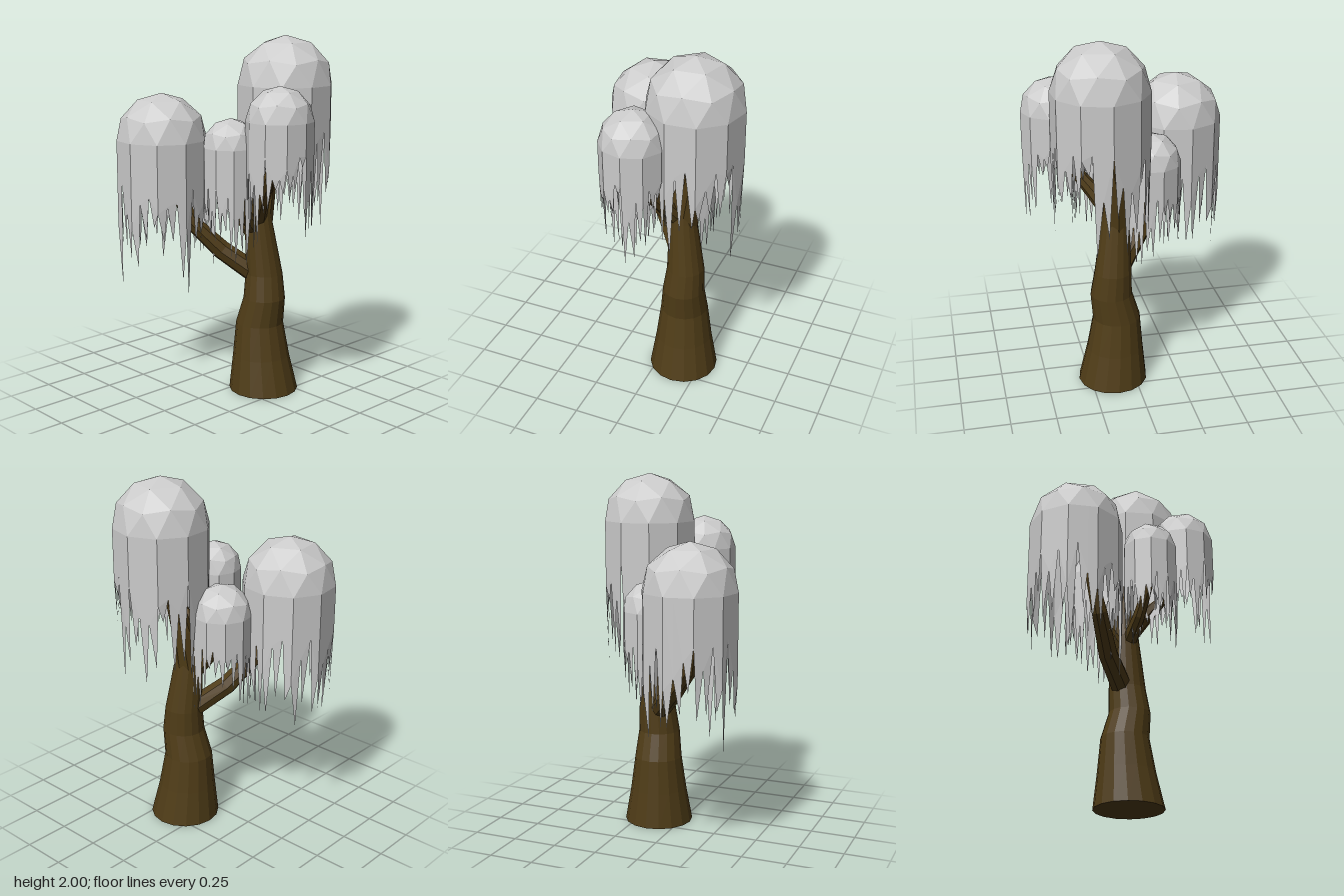
import * as THREE from 'three';

const bark = new THREE.MeshStandardMaterial({ color: 0x4f3c17, flatShading: true });
const leaf = new THREE.MeshStandardMaterial({ color: 0xcccccc, flatShading: true, side: THREE.DoubleSide });

// Small seeded random generator
function seeded(seed) {
  let s = seed * 7919 + 17;
  return () => (s = (s * 16807) % 2147483647) / 2147483647;
}

// Tapered tube through [x, y, z, radius] points; level keeps the rings horizontal
function limb(name, pts, sides, level = false) {
  const up = new THREE.Vector3(0, 1, 0);
  const at = i => new THREE.Vector3(...pts[Math.max(0, Math.min(pts.length - 1, i))].slice(0, 3));
  const pos = [], idx = [];
  pts.forEach((p, i) => {
    const dir = level ? up : at(i + 1).sub(at(i - 1)).normalize();
    const q = new THREE.Quaternion().setFromUnitVectors(up, dir);
    for (let j = 0; j < sides; j++) {
      const a = (j / sides) * Math.PI * 2;
      const v = new THREE.Vector3(Math.sin(a) * p[3], 0, Math.cos(a) * p[3]).applyQuaternion(q).add(at(i));
      pos.push(v.x, v.y, v.z);
      if (i === 0) continue;
      const n = (j + 1) % sides, lo = (i - 1) * sides, hi = i * sides;
      idx.push(lo + j, lo + n, hi + n, lo + j, hi + n, hi + j);
    }
  });
  // Bottom cap
  for (let j = 1; j < sides - 1; j++) idx.push(0, j + 1, j);
  const geo = new THREE.BufferGeometry();
  geo.setAttribute('position', new THREE.Float32BufferAttribute(pos, 3));
  geo.setIndex(idx);
  geo.computeVertexNormals();
  const mesh = new THREE.Mesh(geo, bark);
  mesh.name = name;
  return mesh;
}

// Upper half of a faceted sphere, pole up, with a ten-sided rim at y = 0
function domeGeometry(r) {
  const ico = new THREE.IcosahedronGeometry(r, 1);
  const pole = new THREE.Vector3(0, 1, (1 + Math.sqrt(5)) / 2).normalize();
  ico.applyQuaternion(new THREE.Quaternion().setFromUnitVectors(pole, new THREE.Vector3(0, 1, 0)));
  const p = ico.attributes.position, keep = [];
  for (let i = 0; i < p.count; i += 3) {
    if (p.getY(i) + p.getY(i + 1) + p.getY(i + 2) < 0.01 * r) continue;
    for (let k = i; k < i + 3; k++) keep.push(p.getX(k), p.getY(k), p.getZ(k));
  }
  const geo = new THREE.BufferGeometry();
  geo.setAttribute('position', new THREE.Float32BufferAttribute(keep, 3));
  geo.computeVertexNormals();
  // Angle of one rim corner, so the strands line up with the dome
  let phase = 0;
  for (let i = 0; i < keep.length; i += 3) {
    if (Math.abs(keep[i + 1]) < 1e-4) phase = Math.atan2(keep[i], keep[i + 2]);
  }
  return { geo, phase };
}

// Curtain of pointed strands hanging from the rim
function strandGeometry(r, phase, drop, rand) {
  const edges = 10, per = 3, total = edges * per;
  const corner = i => {
    const a = phase + (i / edges) * Math.PI * 2;
    return new THREE.Vector3(Math.sin(a) * r, 0, Math.cos(a) * r);
  };
  const rim = i => corner(Math.floor(i / per)).lerp(corner(Math.floor(i / per) + 1), (i % per) / per);
  const notch = Array.from({ length: total }, () => -drop * (0.25 + 0.35 * rand()));
  const pos = [];
  for (let i = 0; i < total; i++) {
    const a = rim(i), b = rim(i + 1);
    const c = a.clone().setY(notch[i]), d = b.clone().setY(notch[(i + 1) % total]);
    const tip = a.clone().lerp(b, 0.3 + 0.4 * rand()).multiplyScalar(0.97);
    tip.y = Math.min(c.y, d.y) - drop * (0.08 + 0.36 * rand());
    for (const v of [a, c, d, a, d, b, c, tip, d]) pos.push(v.x, v.y, v.z);
  }
  const geo = new THREE.BufferGeometry();
  geo.setAttribute('position', new THREE.Float32BufferAttribute(pos, 3));
  geo.computeVertexNormals();
  return geo;
}

function canopy(name, x, y, z, r, drop, seed) {
  const group = new THREE.Group();
  group.name = name;
  const { geo, phase } = domeGeometry(r);
  const dome = new THREE.Mesh(geo, leaf);
  dome.name = 'dome';
  const strands = new THREE.Mesh(strandGeometry(r, phase, drop, seeded(seed)), leaf);
  strands.name = 'hangingStrands';
  group.add(dome, strands);
  group.position.set(x, y, z);
  group.rotation.y = seed * 0.7;
  return group;
}

export function createModel() {
  const tree = new THREE.Group();
  tree.name = 'willowTree';

  // Trunk
  tree.add(limb('trunk', [
    [0.14, 0, 0.12, 0.195], [0.135, 0.2, 0.105, 0.16], [0.132, 0.39, 0.095, 0.134],
    [0.138, 0.54, 0.125, 0.117], [0.145, 0.68, 0.115, 0.104], [0.12, 0.98, 0.095, 0.076],
    [0.12, 1.14, 0.09, 0.055], [0.12, 1.28, 0.1, 0],
  ], 16, true));

  // Branches, each ending in a point inside its canopy
  const branches = {
    tallBranch: [[0.13, 0.92, 0.09, 0.07], [0.165, 1.15, 0.1, 0.058], [0.205, 1.36, 0.135, 0.04], [0.215, 1.63, 0.16, 0]],
    backBranch: [[0.1, 0.69, 0.06, 0.06], [-0.02, 0.81, -0.06, 0.055], [-0.16, 0.98, -0.16, 0.045],
      [-0.205, 1.15, -0.22, 0.035], [-0.225, 1.45, -0.28, 0]],
    frontBranch: [[0.1, 0.98, 0.1, 0.05], [0.03, 1.13, 0.21, 0.042], [-0.03, 1.28, 0.33, 0.032], [-0.05, 1.5, 0.37, 0]],
    innerBranch: [[0.12, 0.88, 0.08, 0.05], [0.09, 1.02, -0.04, 0.036], [0.08, 1.12, -0.1, 0.026], [0.075, 1.3, -0.11, 0]],
    sideBranch: [[0.1, 0.93, 0.1, 0.045], [-0.03, 1.06, 0.12, 0.036], [-0.11, 1.2, 0.14, 0.028], [-0.13, 1.42, 0.14, 0]],
  };
  for (const [name, pts] of Object.entries(branches)) tree.add(limb(name, pts, 8));

  // Canopies: x, rim height, z, radius, strand length
  tree.add(
    canopy('tallCanopy', 0.22, 1.74, 0.19, 0.262, 0.86, 1),
    canopy('backCanopy', -0.225, 1.43, -0.32, 0.255, 0.84, 2),
    canopy('innerCanopy', 0.075, 1.28, -0.11, 0.166, 0.56, 3),
    canopy('sideCanopy', -0.14, 1.43, 0.145, 0.152, 0.6, 4),
    canopy('frontCanopy', -0.03, 1.58, 0.395, 0.18, 0.62, 5),
  );
  return tree;
}
